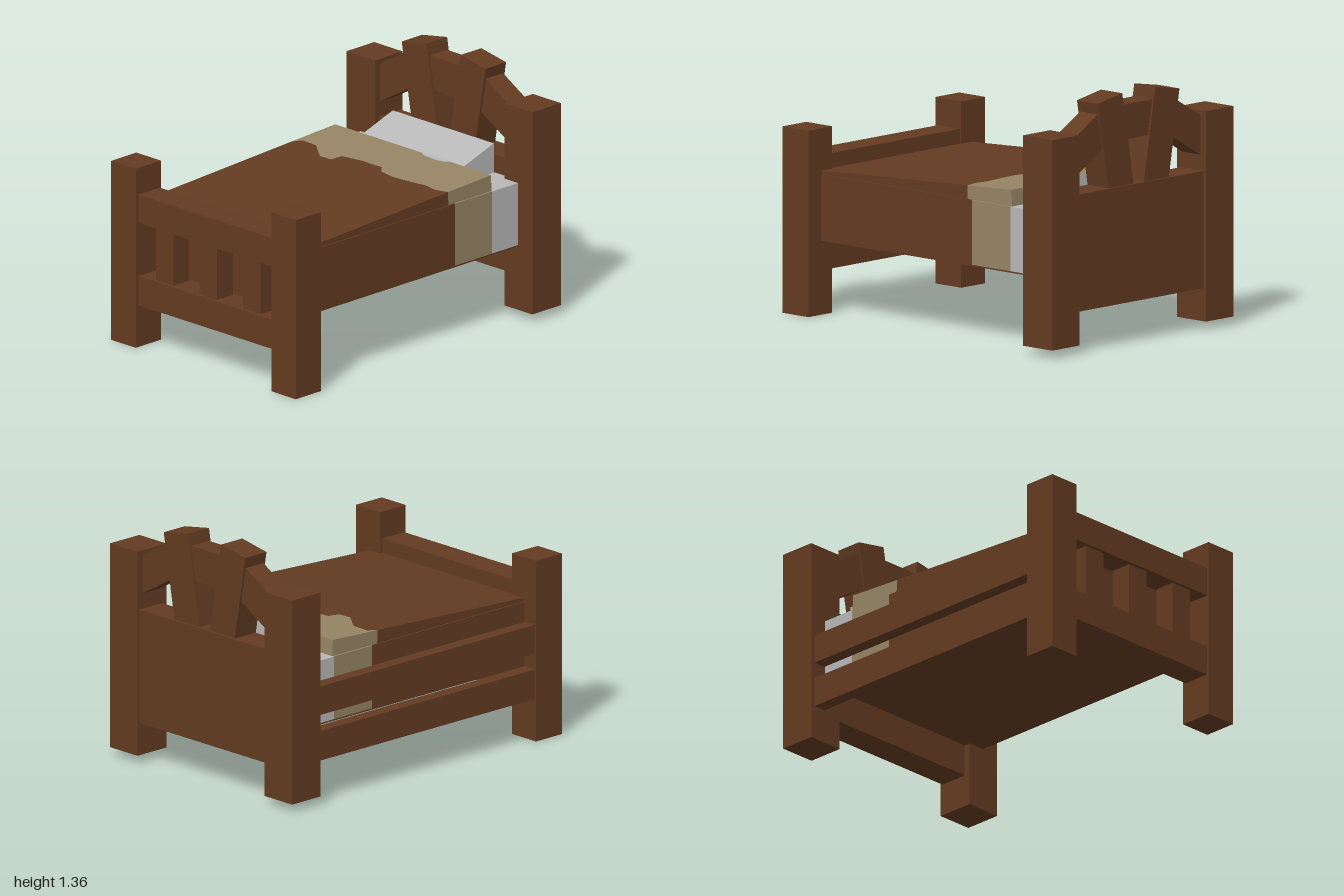
import * as THREE from 'three';

const mat = (name, color) => {
  const m = new THREE.MeshStandardMaterial({ color });
  m.name = name;
  return m;
};

export function createModel() {
  const bed = new THREE.Group();
  bed.name = 'bed';
  const wood = mat('brown wood', 0x633b21);
  const tan = mat('tan blanket fold', 0x968564);
  const linen = mat('pale linen', 0xb8b8b8);

  const add = (name, geometry, material, parent = bed) => {
    const mesh = new THREE.Mesh(geometry, material);
    mesh.name = name;
    parent.add(mesh);
    return mesh;
  };
  // Box given by its minimum and maximum on each axis
  const box = (name, [x0, x1], [y0, y1], [z0, z1], material = wood) => {
    const g = new THREE.BoxGeometry(x1 - x0, y1 - y0, z1 - z0);
    g.translate((x0 + x1) / 2, (y0 + y1) / 2, (z0 + z1) / 2);
    return add(name, g, material);
  };
  const extrude = (points, depth) => new THREE.ExtrudeGeometry(
    new THREE.Shape(points.map(([x, y]) => new THREE.Vector2(x, y))),
    { depth, bevelEnabled: false });

  // Corner posts
  box('rightFootPost', [-0.69, -0.505], [0, 1.01], [0.81, 1]);
  box('leftFootPost', [0.505, 0.69], [0, 1.01], [0.8, 0.99]);
  box('rightHeadPost', [-0.705, -0.49], [0.045, 1.185], [-1, -0.79]);
  box('leftHeadPost', [0.49, 0.7], [0.045, 1.185], [-1, -0.785]);

  // Footboard: two rails and three slats
  box('footTopRail', [-0.55, 0.55], [0.7, 0.86], [0.82, 0.98]);
  box('footLowerRail', [-0.55, 0.55], [0.235, 0.4], [0.82, 0.98]);
  for (const x of [-0.328, 0, 0.328]) {
    box('footSlat', [x - 0.066, x + 0.066], [0.39, 0.71], [0.84, 0.96]);
  }

  // Side rails, on the right side only
  box('sideLowerRail', [-0.68, -0.605], [0.235, 0.4], [-0.85, 0.85]);
  box('sideUpperRail', [-0.68, -0.605], [0.49, 0.65], [-0.85, 0.85]);

  // Headboard: panel, angular arch and two leaning slats
  box('headPanel', [-0.55, 0.55], [0.225, 0.86], [-0.985, -0.82]);
  const arch = extrude([
    [-0.55, 0.91], [-0.213, 1.105], [0.213, 1.105], [0.55, 0.91],
    [0.55, 1.125], [0.257, 1.295], [-0.257, 1.295], [-0.55, 1.125],
  ], 0.13);
  add('headArch', arch, wood).position.z = -0.96;
  for (const side of [-1, 1]) {
    const g = new THREE.BoxGeometry(0.19, 0.56, 0.155);
    g.translate(0, -0.28, 0);
    const slat = add('headSlat', g, wood);
    slat.position.set(side * 0.222, 1.345, -0.895);
    slat.rotation.z = -side * THREE.MathUtils.degToRad(10);
  }

  // Mattress, with the blanket wrapped over its sides
  const mx = [-0.6, 0.592], my = [0.41, 0.76];
  box('mattressHead', mx, my, [-0.83, -0.59], linen);
  box('mattressFold', mx, my, [-0.59, -0.31], tan);
  box('mattressBlanket', mx, my, [-0.31, 0.83]);
  box('mattressBase', mx, [0.402, 0.41], [-0.83, 0.83]);

  // Sloping blanket with a wavy fold edge; points are x and distance from the head edge
  const x0 = -0.59, x1 = 0.583;
  const edge = [
    [x0, 0.33], [-0.56, 0.28], [-0.45, 0.285], [-0.38, 0.34], [-0.32, 0.385], [-0.24, 0.38],
    [-0.23, 0.31], [-0.1, 0.29], [0.05, 0.29], [0.09, 0.335], [0.2, 0.355], [0.35, 0.34],
    [0.42, 0.33], [0.5, 0.345], [x1, 0.325],
  ];
  const blanket = new THREE.Group();
  blanket.name = 'blanket';
  blanket.position.set(0, 0.85, -0.59);
  blanket.rotation.x = 0.05;
  bed.add(blanket);
  const sheet = (name, points, depth, material) =>
    add(name, extrude(points, depth).rotateX(Math.PI / 2), material, blanket);
  sheet('blanketFold', [[x1, 0], [x0, 0], ...edge], 0.1, tan);
  sheet('blanketMain', [...edge, [x1, 1.42], [x0, 1.42]], 0.1, wood);
  sheet('pillowOverlap', [[0.06, 0], [0.28, 0], [0.26, 0.02], [0.2, 0.03], [0.1, 0.025]],
    0.006, linen).position.y = 0.003;

  // Wedge pillow; profile in z and y, turned to run across the bed
  const pillow = extrude([[0.59, 0.755], [0.815, 0.755], [0.815, 0.925], [0.59, 0.85]], 0.76);
  pillow.rotateY(Math.PI / 2).translate(-0.38, 0, 0);
  add('pillow', pillow, linen);

  return bed;
}
